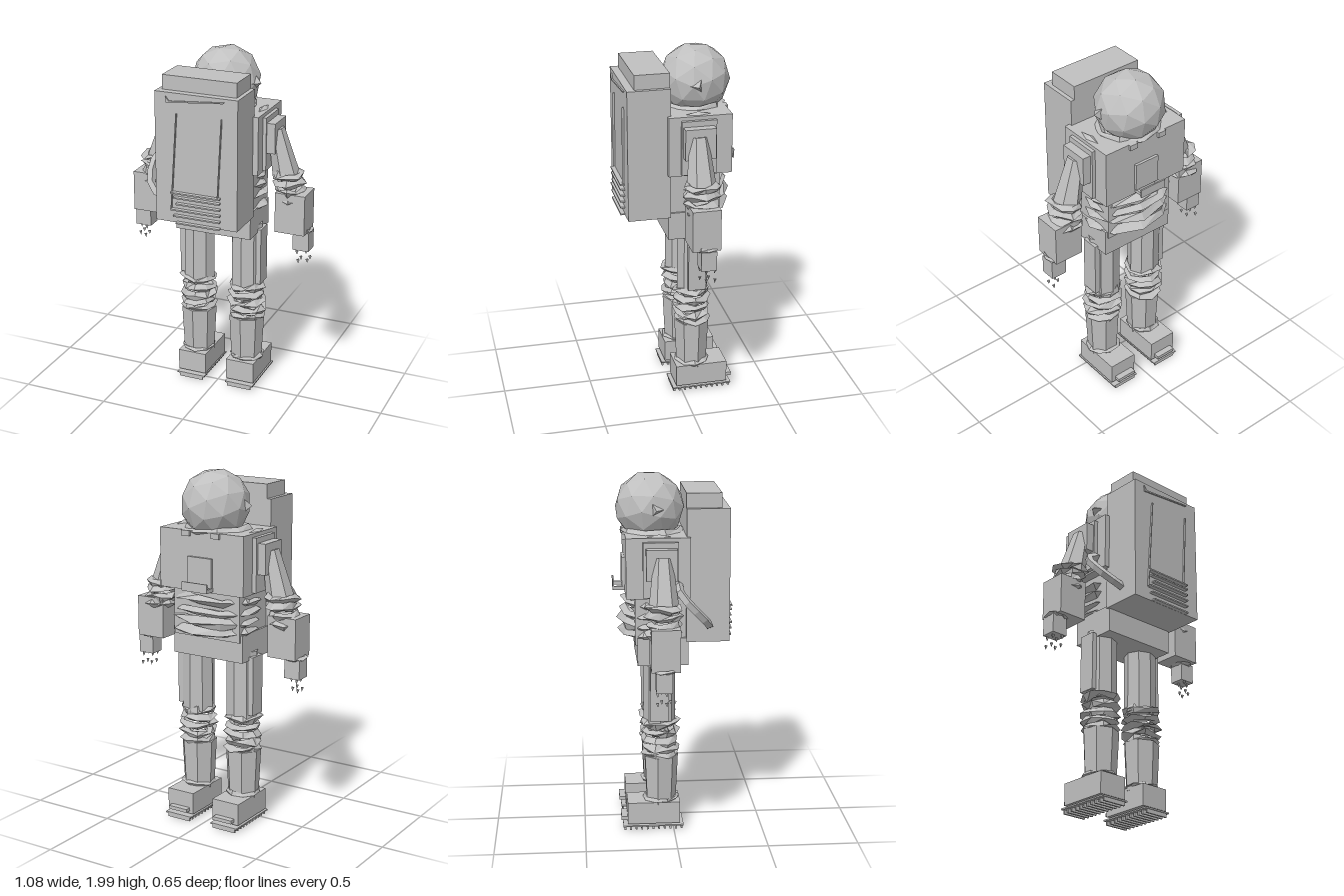
import * as THREE from 'three';

export function createModel() {
  const model = new THREE.Group();
  model.name = 'spaceSuit';
  const suit = new THREE.MeshStandardMaterial({ color: 0xc0c0c0, flatShading: true, side: THREE.DoubleSide });
  suit.name = 'suit grey';

  let seed = 7;
  const rnd = () => { // -1..1, seeded
    seed = (seed * 16807) % 2147483647;
    return (seed / 2147483647) * 2 - 1;
  };

  function add(name, geometry, x = 0, y = 0, z = 0) {
    const m = new THREE.Mesh(geometry, suit);
    m.name = name;
    m.position.set(x, y, z);
    model.add(m);
    return m;
  }

  // Box from its limits on each axis
  function box(name, x0, x1, y0, y1, z0, z1) {
    return add(name, new THREE.BoxGeometry(Math.abs(x1 - x0), y1 - y0, z1 - z0),
      (x0 + x1) / 2, (y0 + y1) / 2, (z0 + z1) / 2);
  }

  // Crumpled fabric fold: an oval low-poly torus with uneven corners
  function fold(name, x, y, z, rx, rz, t, rough = 0.4, h = 0.8) {
    const n = 9, m = 4;
    const g = new THREE.TorusGeometry(1, 0.1, m, n);
    const p = g.attributes.position;
    const jit = Array.from({ length: n * m }, () => [rnd() * t * rough, rnd() * t * rough]);
    for (let j = 0; j <= m; j++) for (let i = 0; i <= n; i++) {
      const [a, b] = jit[(j % m) * n + (i % n)];
      const u = (i / n) * Math.PI * 2, v = (j / m) * Math.PI * 2;
      const c = t * Math.cos(v) + a;
      p.setXYZ(j * (n + 1) + i, (rx + c) * Math.cos(u), t * h * Math.sin(v) + b, -(rz + c) * Math.sin(u));
    }
    g.computeVertexNormals();
    return add(name, g, x, y, z);
  }

  // Tapered faceted limb
  function limb(name, x, y, z, rTop, rBottom, h, depth, sides = 7) {
    const g = new THREE.CylinderGeometry(rTop, rBottom, h, sides);
    g.scale(1, 1, depth);
    return add(name, g, x, y, z);
  }

  // Helmet, ear caps and neck folds
  add('helmet', new THREE.IcosahedronGeometry(0.192, 1), 0, 1.81, -0.118).rotation.set(0.25, 0.3, 0.1);
  fold('neckFold', 0, 1.675, -0.1, 0.165, 0.15, 0.03);

  // Torso
  box('chest', -0.265, 0.27, 1.35, 1.68, -0.26, 0.087);
  box('waist', -0.21, 0.215, 1.08, 1.36, -0.21, 0.08);
  box('hips', -0.222, 0.227, 0.965, 1.12, -0.198, 0.08);
  [1.12, 1.18, 1.235, 1.295].forEach((y, i) =>
    fold('waistFold', 0, y, -0.1, 0.215, i < 3 ? 0.165 : 0.14, 0.035, 0.4, 0.7));

  // Chest control panel
  box('controlPanel', -0.07, 0.08, 1.38, 1.54, -0.275, -0.258);
  box('controlFlap', -0.075, 0.085, 1.36, 1.41, -0.325, -0.317);
  for (const s of [-1, 1]) {
    box('controlArm', s * 0.06, s * 0.075, 1.36, 1.38, -0.32, -0.26);
    box('collarClip', s * 0.07, s * 0.12, 1.65, 1.68, -0.275, -0.255);
  }

  // Backpack with thin raised trim
  box('backpack', -0.235, 0.24, 1.1, 1.83, 0.068, 0.303);
  box('backpackTop', -0.21, 0.217, 1.83, 1.91, 0.068, 0.26);
  [[-0.125, 1.45, 0.54, -0.065], [0.14, 1.5, 0.44, -0.05]].forEach(([x, y, h, tilt]) => {
    add('backpackSeam', new THREE.BoxGeometry(0.005, h, 0.012), x, y, 0.308).rotation.z = tilt;
  });
  [1.277, 1.25, 1.215, 1.18, 1.145, 1.105].forEach((y, i) =>
    box('backpackVent', -0.14 + 0.015 * (i % 3), 0.145, y - 0.004, y + 0.004, 0.303, 0.328));
  const flap = new THREE.Shape();
  flap.moveTo(-0.17, 1.81);
  flap.lineTo(-0.165, 1.775);
  flap.lineTo(0.16, 1.805);
  flap.lineTo(0.165, 1.812);
  flap.lineTo(-0.15, 1.785);
  flap.closePath();
  add('backpackLabelEdge', new THREE.ExtrudeGeometry(flap, { depth: 0.008, bevelEnabled: false }), 0, 0, 0.303);

  // Air hose on the right side
  const hose = new THREE.CatmullRomCurve3([
    new THREE.Vector3(-0.27, 1.43, 0.02), new THREE.Vector3(-0.34, 1.39, 0.03),
    new THREE.Vector3(-0.355, 1.3, 0.11), new THREE.Vector3(-0.31, 1.22, 0.18),
    new THREE.Vector3(-0.225, 1.19, 0.19),
  ]);
  add('airHose', new THREE.TubeGeometry(hose, 6, 0.024, 4));

  for (const s of [-1, 1]) {
    // Helmet side cap
    const cap = add('earCap', new THREE.ConeGeometry(0.042, 0.04, 3), s * 0.195, 1.815, -0.092);
    cap.rotation.z = -s * Math.PI / 2;

    // Shoulder
    add('shoulderPad', new THREE.OctahedronGeometry(1), s * 0.235, 1.68, -0.08).scale.set(0.023, 0.015, 0.07);
    box('shoulderPlate', s * 0.25, s * 0.29, 1.36, 1.66, -0.17, 0.02);
    box('shoulder', s * 0.27, s * 0.338, 1.46, 1.63, -0.155, 0.012);

    // Arm
    const upper = limb('upperArm', s * 0.348, 1.45, -0.065, 0.045, 0.075, 0.27, 1.1, 6);
    upper.rotation.z = s * 0.24;
    [1.335, 1.29, 1.245, 1.2].forEach((y, i) =>
      fold('elbowFold', s * (0.395 + 0.004 * i), y, -0.065, 0.066, 0.075, 0.025, 0.55));
    box('forearm', s * 0.345, s * 0.517, 1.01, 1.24, -0.14, 0.015);
    fold('cuff', s * 0.477, 1.012, -0.07, 0.05, 0.052, 0.017, 0.4);
    box('hand', s * 0.437, s * 0.53, 0.9, 1.01, -0.115, -0.03);

    // Fingertips
    for (let i = 0; i < 4; i++) for (const y of [0.885, 0.833]) {
      const tip = add('fingertip', new THREE.ConeGeometry(0.011, 0.024, 3),
        s * (0.463 + (i % 2) * 0.045 + (y < 0.85 ? 0.008 : 0)), y, -0.035 - i * 0.024);
      tip.rotation.x = Math.PI;
    }

    // Leg
    limb('thigh', s * 0.147, 0.81, -0.075, 0.092, 0.093, 0.4, 0.95, 8);
    box('thighPocket', s * 0.215, s * 0.248, 0.65, 0.985, -0.13, -0.03);
    [0.62, 0.57, 0.525, 0.48, 0.44].forEach(y =>
      fold('kneeFold', s * 0.152, y, -0.07, 0.082, 0.082, 0.026, 0.5));
    limb('shin', s * 0.15, 0.29, -0.07, 0.104, 0.09, 0.28, 0.95, 7);
    fold('ankleFold', s * 0.152, 0.175, -0.07, 0.085, 0.085, 0.017, 0.4);

    // Boot, sole and tread bars
    box('boot', s * 0.066, s * 0.236, 0.04, 0.165, -0.26, 0.035);
    box('bootToe', s * 0.09, s * 0.21, 0.055, 0.075, -0.295, -0.255);
    box('sole', s * 0.067, s * 0.238, 0.022, 0.03, -0.285, 0.055);
    for (let i = 0; i < 11; i++) {
      const z = -0.275 + i * 0.032;
      box('treadBar', s * 0.08, s * 0.225, 0, 0.022, z - 0.005, z + 0.005);
    }
  }
  return model;
}
